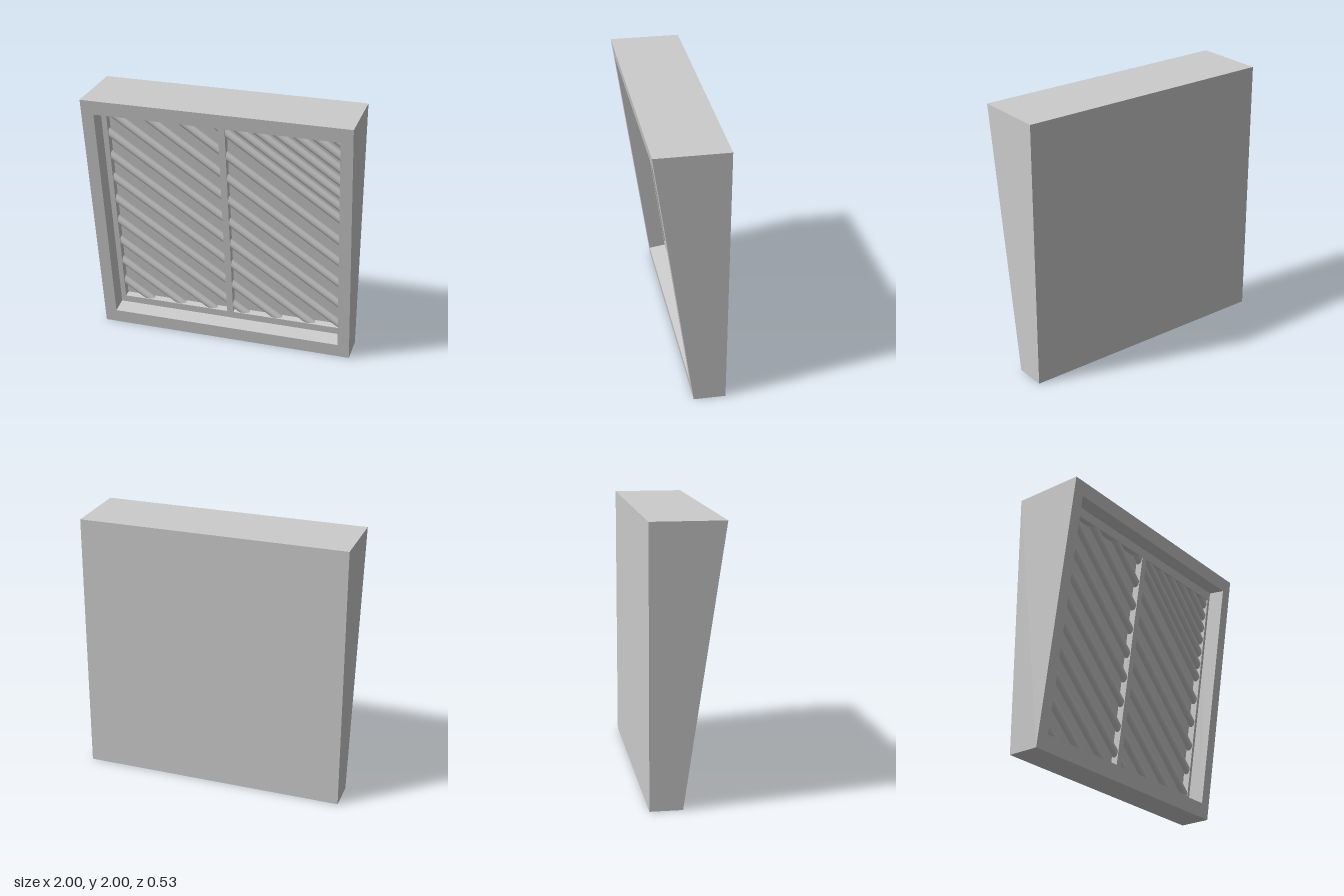
import * as THREE from 'three';

const TILT = Math.atan(0.295 / 2); // lean of the front face
const FRONT_Z = -0.03;             // front face at the bottom edge
const BACK_Z = -0.265;
const RECESS = 0.13, FRAME = 0.055;
const OPENING = { x0: -0.905, x1: 0.91, y0: 0.111, y1: 1.911 };
const PANE = { x0: -0.865, x1: 0.885, y0: 0.17, y1: 1.841 };
const MULLION = [-0.01, 0.04];

const material = new THREE.MeshStandardMaterial({ color: 0xcccccc });

function addMesh(parent, geometry, name) {
  const mesh = new THREE.Mesh(geometry, material);
  mesh.name = name;
  parent.add(mesh);
  return mesh;
}

// Rectangle as four corners, anticlockwise seen from the front
function corners(x0, x1, y0, y1) {
  return [[x0, y0], [x1, y0], [x1, y1], [x0, y1]];
}

// Wedge block with a recess sunk square to the leaning front
function bodyGeometry() {
  const c = Math.cos(TILT), s = Math.sin(TILT);
  const onSlope = (depth) => ([x, v]) => new THREE.Vector3(x, v * c + depth * s, FRONT_Z + v * s - depth * c);
  const outer = corners(-1, 1, 0, 2 / c);
  const hole = corners(OPENING.x0, OPENING.x1, OPENING.y0, OPENING.y1);
  const back = corners(-1, 1, 0, 2).map(([x, y]) => new THREE.Vector3(x, y, BACK_Z));
  const rings = [back, outer.map(onSlope(0)), hole.map(onSlope(0)), hole.map(onSlope(RECESS + FRAME))];
  const points = [];
  const quad = (p, q, r, t) => points.push(p, q, r, p, r, t);
  for (let k = 0; k < rings.length - 1; k++) {
    for (let i = 0; i < 4; i++) {
      const j = (i + 1) % 4;
      quad(rings[k][i], rings[k][j], rings[k + 1][j], rings[k + 1][i]);
    }
  }
  quad(...[...back].reverse());
  quad(...rings[3]);
  const geometry = new THREE.BufferGeometry().setFromPoints(points);
  geometry.computeVertexNormals();
  return geometry;
}

// Flat frame with two tall panes either side of the mullion
function frameGeometry() {
  const toPoints = (list) => list.map(([x, y]) => new THREE.Vector2(x, y));
  const shape = new THREE.Shape(toPoints(corners(OPENING.x0, OPENING.x1, OPENING.y0, OPENING.y1)));
  for (const [x0, x1] of [[PANE.x0, MULLION[0]], [MULLION[1], PANE.x1]]) {
    shape.holes.push(new THREE.Path(toPoints(corners(x0, x1, PANE.y0, PANE.y1))));
  }
  return new THREE.ExtrudeGeometry(shape, { depth: FRAME, bevelEnabled: false });
}

// Slanting round bars, running on behind the mullion and into the surround
function addBars(parent) {
  const slope = 0.738, radius = 0.03, overlap = 0.05;
  const angle = Math.atan(slope);
  const wide = 12, close = 6; // the last few bars sit closer together
  for (let i = 0; i < wide + close; i++) {
    const level = 0.311 + 0.195 * Math.min(i, wide - 1) + 0.107 * Math.max(0, i - wide + 1);
    const xAt = (y) => PANE.x0 + (level - y) / slope;
    const start = Math.max(PANE.x0, xAt(PANE.y1));
    const end = Math.min(PANE.x1, xAt(PANE.y0));
    const middle = (start + end) / 2;
    const length = (end - start) / Math.cos(angle) + 2 * overlap;
    const bar = addMesh(parent, new THREE.CylinderGeometry(radius, radius, length, 20), 'slantedBar');
    bar.position.set(middle, level - slope * (middle - PANE.x0), -RECESS - FRAME + 0.02);
    bar.rotation.z = Math.PI / 2 - angle;
  }
}

export function createModel() {
  const model = new THREE.Group();
  model.name = 'slantedGrillePanel';
  addMesh(model, bodyGeometry(), 'wedgeBody');

  // Grille parts lie parallel to the leaning front
  const grille = new THREE.Group();
  grille.name = 'grille';
  grille.position.z = FRONT_Z;
  grille.rotation.x = TILT;
  model.add(grille);

  addMesh(grille, frameGeometry(), 'paneFrame').position.z = -RECESS - FRAME;
  addBars(grille);
  return model;
}
